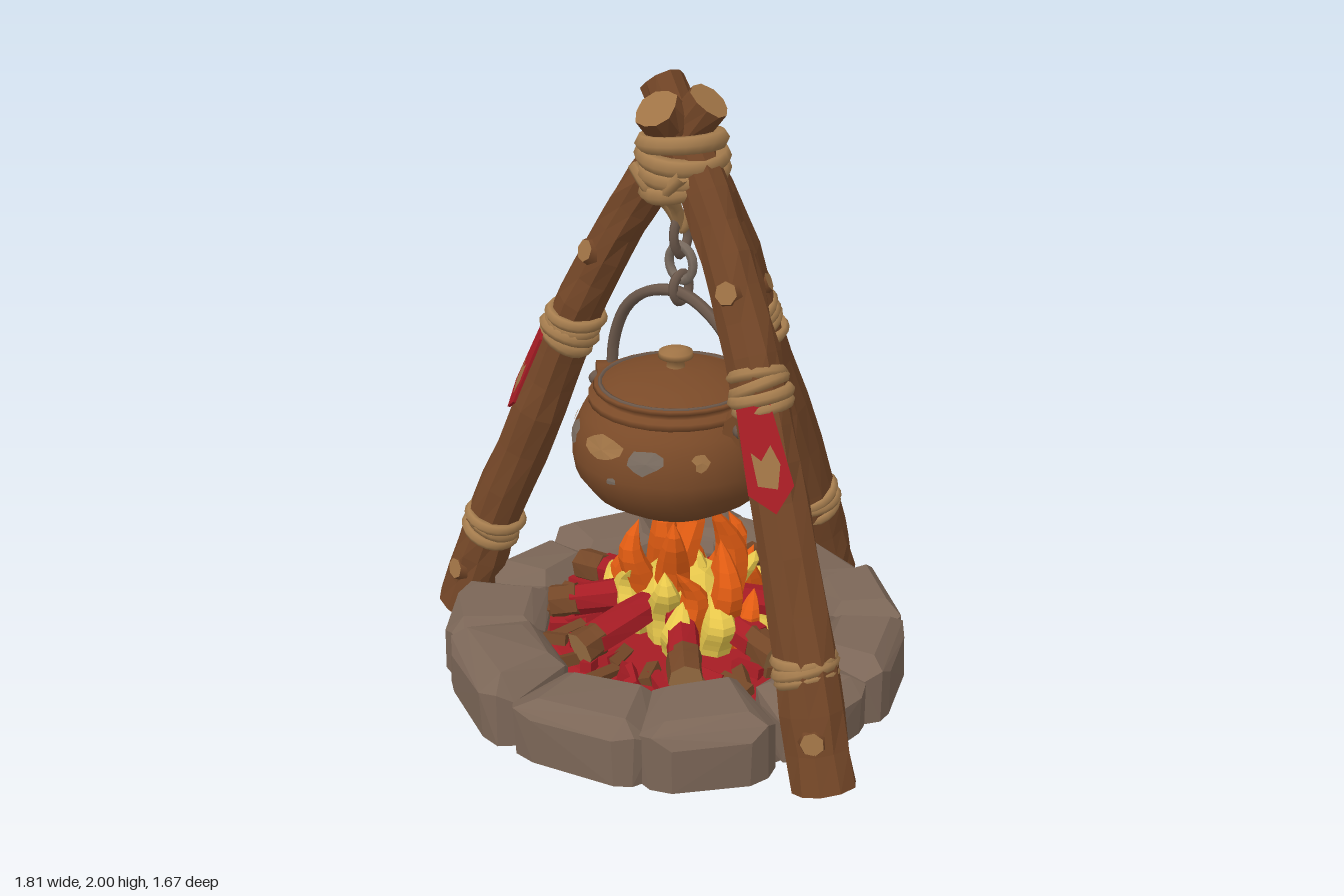
import * as THREE from 'three';
import { ConvexGeometry } from 'three/addons/geometries/ConvexGeometry.js';

const V = (x, y, z) => new THREE.Vector3(x, y, z);
const paint = (name, color) => Object.assign(new THREE.MeshStandardMaterial({ color }), { name });
// repeatable noise in -1..1
const hash = (a, b, c = 0) => {
  const s = Math.sin(a * 127.1 + b * 311.7 + c * 74.7) * 43758.5453;
  return (s - Math.floor(s)) * 2 - 1;
};

export function createModel() {
  const model = new THREE.Group();
  const bark = paint('bark', 0x734627), cut = paint('cutWood', 0x9f7345), rope = paint('rope', 0xa67d4e);
  const stone = paint('stone', 0x7b6657), copper = paint('copper', 0x7a4a28), iron = paint('iron', 0x6b584b);
  const worn = paint('wornMetal', 0x7a6c60), red = paint('red', 0xa61c24);
  const orange = paint('orange', 0xe25c12), yellow = paint('yellow', 0xe8c84c);

  function add(name, geometry, material, parent = model) {
    const mesh = new THREE.Mesh(geometry, material);
    mesh.name = name;
    parent.add(mesh);
    return mesh;
  }
  function group(name) {
    const g = new THREE.Group();
    g.name = name;
    model.add(g);
    return g;
  }
  const facet = (geo) => {
    const g = geo.index ? geo.toNonIndexed() : geo;
    g.computeVertexNormals();
    return g;
  };

  // rough log: a cylinder bent along a curve with uneven bark
  function log(points, r0, r1, seed, rows = 14, sides = 10, rough = 0.08) {
    const curve = new THREE.CatmullRomCurve3(points);
    const geo = new THREE.CylinderGeometry(1, 1, 1, sides, rows);
    const p = geo.attributes.position;
    for (let i = 0; i < p.count; i++) {
      const t = p.getY(i) + 0.5, x = p.getX(i), z = p.getZ(i);
      const tangent = curve.getTangent(t);
      const side = V(0, 0, 1).cross(tangent);
      if (side.length() < 0.05) side.set(1, 0, 0);
      side.normalize();
      const depth = side.clone().cross(tangent);
      const a = Math.round(Math.atan2(z, x) / (2 * Math.PI) * sides * 2 + sides * 2) % (sides * 2);
      const r = (r0 + (r1 - r0) * t) * (1 + rough * hash(a, Math.round(t * rows), seed) + rough * 0.6 * hash(a, 3, seed));
      const q = curve.getPoint(t).addScaledVector(side, x * r).addScaledVector(depth, z * r);
      p.setXYZ(i, q.x, Math.max(0, q.y), q.z);
    }
    return facet(geo);
  }

  // turns of rope stacked along a direction
  function coil(parent, centre, dir, radius, turns, tube, seed) {
    const d = dir.clone().normalize();
    for (let i = 0; i < turns; i++) {
      const m = add('ropeTurn', new THREE.TorusGeometry(radius + 0.006 * hash(i, seed), tube, 6, 20), rope, parent);
      m.position.copy(centre).addScaledVector(d, (i - (turns - 1) / 2) * tube * 1.45);
      const tilt = V(hash(i, seed, 1), 0, hash(i, seed, 2)).multiplyScalar(0.16);
      m.quaternion.setFromUnitVectors(V(0, 0, 1), d.clone().add(tilt).normalize());
    }
  }

  // tripod legs with rope lashings and sawn branch stubs
  const sideLeg = (s, topX, topY) => [V(s * 0.81, 0.02, 0.315), V(s * 0.695, 0.36, 0.27), V(s * 0.515, 0.82, 0.195),
    V(s * 0.4, 1.13, 0.15), V(s * 0.27, 1.4, 0.11), V(s * 0.115, 1.65, 0.075), V(topX, topY, 0.03)];
  const legs = [
    ['leftLeg', sideLeg(1, -0.105, 1.95)],
    ['rightLeg', sideLeg(-1, 0.09, 1.92)],
    ['backLeg', [V(0, 0.02, -0.725), V(0, 0.36, -0.615), V(-0.01, 1.13, -0.3), V(-0.01, 1.65, -0.06), V(-0.015, 1.9, 0.15)]],
  ];
  legs.forEach(([name, pts], k) => {
    const g = group(name);
    add('pole', log(pts, 0.097, 0.069, k + 1, 18), [bark, cut, bark], g);
    const curve = new THREE.CatmullRomCurve3(pts);
    for (const y of [0.36, 1.13]) {
      let t = 0;
      while (curve.getPoint(t).y < y) t += 0.004;
      coil(g, curve.getPoint(t), curve.getTangent(t), y < 1 ? 0.083 : 0.078, y < 1 ? 3 : 4, 0.021, k + y);
    }
    const stubs = k === 2 ? [[0.55, V(0.8, 0.4, -0.5)]]
      : [[0.66, V(k ? -0.15 : 0.25, 0.3, 0.9)], [0.08, V(k ? -0.1 : 0.6, 0.2, 0.9)]];
    for (const [t, out] of stubs) {
      const stub = add('branchStub', new THREE.CylinderGeometry(0.036, 0.06, 0.06, 7), [bark, cut, bark], g);
      stub.position.copy(curve.getPoint(t)).addScaledVector(out.normalize(), t < 0.2 ? 0.068 : 0.054);
      stub.quaternion.setFromUnitVectors(V(0, 1, 0), out);
    }
  });

  // lashing where the poles cross
  const lashing = group('topLashing');
  coil(lashing, V(0, 1.73, 0.05), V(0, 1, 0.06), 0.118, 4, 0.029, 9);
  for (const s of [-1, 1]) {
    const c = new THREE.CatmullRomCurve3([V(s * 0.1, 1.72, 0.16), V(s * 0.04, 1.66, 0.16), V(s * 0.015, 1.6, 0.1), V(0, 1.53, 0.06)]);
    add('hangingRope', new THREE.TubeGeometry(c, 10, 0.02, 6), rope, lashing);
  }

  // chain links between lashing and kettle
  const chain = group('chain');
  [[1.585, 0.034, 1.7, 1, rope], [1.5, 0.032, 1.7, 0, iron], [1.41, 0.05, 1.1, 1, worn], [1.33, 0.036, 1.2, 0, iron]]
    .forEach(([y, r, stretch, front, m]) => {
      const link = add('link', new THREE.TorusGeometry(r, 0.015, 6, 16), m, chain);
      link.position.set(0, y, 0.06);
      link.scale.y = stretch;
      link.rotation.y = front ? 0 : Math.PI / 2;
    });

  // kettle
  const kettle = group('kettle');
  kettle.position.set(0, 0, 0.085);
  const profile = [[0, 0.585], [0.09, 0.592], [0.18, 0.625], [0.27, 0.68], [0.32, 0.75], [0.33, 0.81], [0.322, 0.88],
    [0.295, 0.94], [0.255, 0.975]];
  const lathe = (pts) => new THREE.LatheGeometry(pts.map(([x, y]) => new THREE.Vector2(x, y)), 28);
  add('bowl', lathe(profile), copper, kettle);
  add('rimBand', lathe([[0.255, 0.965], [0.275, 0.975], [0.275, 0.995], [0.245, 1.0], [0.245, 1.015], [0.26, 1.02], [0.255, 1.03], [0.22, 1.03]]), copper, kettle);
  add('lid', lathe([[0.235, 1.025], [0.18, 1.052], [0.1, 1.072], [0, 1.08]]), copper, kettle);
  const seam = add('lidSeam', new THREE.TorusGeometry(0.238, 0.008, 5, 28), iron, kettle);
  seam.rotation.x = Math.PI / 2;
  seam.position.y = 1.028;
  add('lidKnob', lathe([[0.03, 1.075], [0.025, 1.1], [0.055, 1.11], [0.053, 1.128], [0.03, 1.138], [0, 1.14]]), cut, kettle);

  // handle and its pivots
  const arc = new THREE.CatmullRomCurve3([V(-0.285, 0.97, 0), V(-0.27, 1.1, 0), V(-0.215, 1.22, 0), V(-0.12, 1.295, 0),
    V(0, 1.32, -0.01), V(0.12, 1.295, 0), V(0.215, 1.22, 0), V(0.27, 1.1, 0), V(0.285, 0.97, 0)]);
  add('handle', new THREE.TubeGeometry(arc, 32, 0.019, 6), iron, kettle);
  for (const s of [-1, 1]) {
    const ear = add('handlePivot', new THREE.CylinderGeometry(0.056, 0.056, 0.09, 9), copper, kettle);
    ear.position.set(s * 0.28, 0.965, 0.01);
    ear.rotation.set(Math.PI / 2, s * 0.7, 0, 'YXZ');
    add('pivotPin', new THREE.SphereGeometry(0.025, 8, 6), iron, kettle).position.set(s * 0.31, 0.965, 0.046);
  }

  // worn patches that follow the bowl
  const radiusAt = (y) => {
    const i = Math.max(1, profile.findIndex((q) => q[1] >= y));
    const [a, b] = [profile[i - 1], profile[i]];
    return a[0] + (b[0] - a[0]) * (y - a[1]) / (b[1] - a[1]);
  };
  [[-0.03, 0.895, 0.3, 0.042, cut], [-0.6, 0.89, 0.14, 0.038, worn], [0.47, 0.885, 0.2, 0.04, worn], [-0.95, 0.9, 0.12, 0.03, cut],
    [1.0, 0.89, 0.1, 0.03, cut], [0.12, 0.81, 0.07, 0.015, worn]].forEach(([phi, y, w, h, m], k) => {
    const geo = new THREE.CircleGeometry(1, 11);
    const p = geo.attributes.position;
    for (let i = 0; i < p.count; i++) {
      const j = 0.85 + 0.25 * hash(i % 11, k), a = phi + p.getX(i) * w * j, py = y + p.getY(i) * h * j;
      const r = radiusAt(py) + 0.006;
      p.setXYZ(i, Math.sin(a) * r, py, Math.cos(a) * r);
    }
    add('wornPatch', facet(geo), m, kettle);
  });
  const tail = add('ropeTail', new THREE.ConeGeometry(0.022, 0.12, 5), rope, kettle);
  tail.position.set(-0.235, 0.635, 0);
  tail.rotation.x = Math.PI;

  // pennants on the two front legs
  const outline = (pts) => new THREE.Shape(pts.map(([x, y]) => new THREE.Vector2(x, y)));
  const cloth = outline([[-0.05, 0.02], [0.05, 0.02], [0.068, -0.23], [0, -0.3], [-0.068, -0.23]]);
  const mark = outline([[-0.035, -0.11], [-0.01, -0.14], [0.025, -0.1], [0.042, -0.16], [0.02, -0.23], [-0.035, -0.21]]);
  for (const s of [1, -1]) {
    const g = group(s > 0 ? 'leftPennant' : 'rightPennant');
    const top = V(s * 0.452, 1.1, 0.235), up = top.clone().sub(V(s * 0.578, 0.82, 0.275)).normalize();
    const across = up.clone().cross(V(s * 0.68, 0.25, 0.7)).normalize();
    g.applyMatrix4(new THREE.Matrix4().makeBasis(across, up, across.clone().cross(up)).setPosition(top));
    add('cloth', new THREE.ExtrudeGeometry(cloth, { depth: 0.009, bevelEnabled: false }), red, g);
    add('emblem', new THREE.ShapeGeometry(mark), cut, g).position.z = 0.012;
  }

  // ring of rounded stones: x, z, half width, half depth, height
  const hearth = group('stoneRing');
  function boulder(x, z, w, d, h, seed) {
    const pts = [];
    for (const sx of [-1, 1]) for (const sy of [-1, 1]) for (const sz of [-1, 1])
      [[1, 0.5, 0.5], [0.62, 1, 0.58], [0.58, 0.5, 1], [0.86, 0.72, 0.83]].forEach((c, i) => {
        const k = sx + sy * 3 + sz * 9;
        const j = (n) => 1 + 0.05 * hash(k, i + n, seed);
        const py = sy < 0 ? (c[1] === 1 ? 0 : 0.03) : h * (0.5 + c[1] / 2) * j(11);
        pts.push(V(sx * c[0] * w * j(5) * (1 + 0.14 * sz), py, sz * c[2] * d * j(8)));
      });
    const m = add('stone', new ConvexGeometry(pts), stone, hearth);
    m.position.set(x, 0, z);
    m.rotation.y = Math.atan2(x, z - 0.1);
  }
  [[-0.455, 0.46, 0.18, 0.16, 0.23], [-0.2, 0.645, 0.205, 0.15, 0.24], [0.18, 0.645, 0.205, 0.15, 0.23], [0.455, 0.46, 0.18, 0.16, 0.24],
    [0.59, 0.13, 0.15, 0.135, 0.21], [0.56, -0.17, 0.178, 0.13, 0.24], [0.365, -0.4, 0.168, 0.13, 0.24], [0.13, -0.475, 0.165, 0.13, 0.23],
    [-0.13, -0.475, 0.155, 0.13, 0.24], [-0.38, -0.405, 0.165, 0.14, 0.23], [-0.555, -0.165, 0.172, 0.135, 0.23], [-0.59, 0.13, 0.15, 0.135, 0.21],
    [-0.64, 0.42, 0.04, 0.035, 0.06]].forEach((q, i) => boulder(...q, i + 1));
  add('hearthBase', new THREE.CylinderGeometry(0.64, 0.64, 0.04, 32), stone, hearth).position.set(0, 0.021, 0.1);

  // ember bed, chips and radial firewood with glowing inner halves
  const fire = group('fire');
  fire.position.set(0, 0, 0.08);
  add('emberBed', new THREE.CylinderGeometry(0.42, 0.49, 0.06, 24), red, fire).position.y = 0.12;
  for (let i = 0; i < 56; i++) {
    const a = i * 2.4, r = 0.36 + 0.07 * hash(i, 2);
    const chip = add('chip', new THREE.BoxGeometry(0.04, 0.035, 0.11 + 0.04 * hash(i, 3)), i % 2 ? bark : red, fire);
    chip.position.set(Math.sin(a) * r, 0.16, Math.cos(a) * r);
    chip.rotation.set(0.25 * hash(i, 4), a + 0.7 * hash(i, 5), 0.5 * hash(i, 6));
  }
  for (let i = 0; i < 8; i++) {
    const a = i * Math.PI / 4 + 0.12 * hash(i, 7) - 0.05, out = 0.43 + 0.03 * hash(i, 8);
    const at = (r, y) => V(Math.sin(a) * r, y, Math.cos(a) * r);
    add('emberLog', log([at(0.12, 0.27), at(0.35, 0.23)], 0.054, 0.054, i, 2, 7), red, fire);
    add('firewood', log([at(0.33, 0.233), at(out, 0.215)], 0.056, 0.057, i + 20, 2, 7), [bark, cut, bark], fire);
  }

  // curling flame tongues around a bright core
  function tongue(x, z, h, r, m, seed) {
    const geo = new THREE.CylinderGeometry(1, 1, 1, 7, 9);
    const p = geo.attributes.position, turn = hash(seed, 1) * 3;
    for (let i = 0; i < p.count; i++) {
      const t = p.getY(i) + 0.5;
      const w = r * Math.pow(1 - t, 0.8) * (0.8 + 1.1 * t);
      const sway = r * 0.75 * Math.sin(t * 5.5 + seed) * t;
      p.setXYZ(i, p.getX(i) * w + sway * Math.cos(turn) + x * 0.2 * t, t * h, p.getZ(i) * w * 0.9 + sway * Math.sin(turn) + z * 0.2 * t);
    }
    add('flame', facet(geo), m, fire).position.set(x, 0.16, z);
  }
  const core = add('flameCore', facet(new THREE.IcosahedronGeometry(0.16, 1)), yellow, fire);
  core.position.set(0.01, 0.24, -0.02);
  core.scale.set(1.1, 1, 1.05);
  [[0, -0.02, 0.47], [-0.11, -0.06, 0.43], [0.12, -0.07, 0.46], [0.04, 0.06, 0.44], [-0.08, 0.07, 0.38], [0.19, 0.01, 0.37],
    [-0.2, 0.01, 0.25], [0.02, -0.18, 0.34], [0.13, 0.1, 0.3], [-0.12, -0.17, 0.26], [0.1, -0.21, 0.24], [0.24, -0.04, 0.2]]
    .forEach(([x, z, h], i) => {
      tongue(x, z, h, 0.045 + h * 0.08, orange, i);
      tongue(x * 1.05, z * 1.05 + (z < 0 ? -0.03 : 0.035), h * 0.6, 0.05 + h * 0.07, yellow, i + 0.6);
    });
  return model;
}
